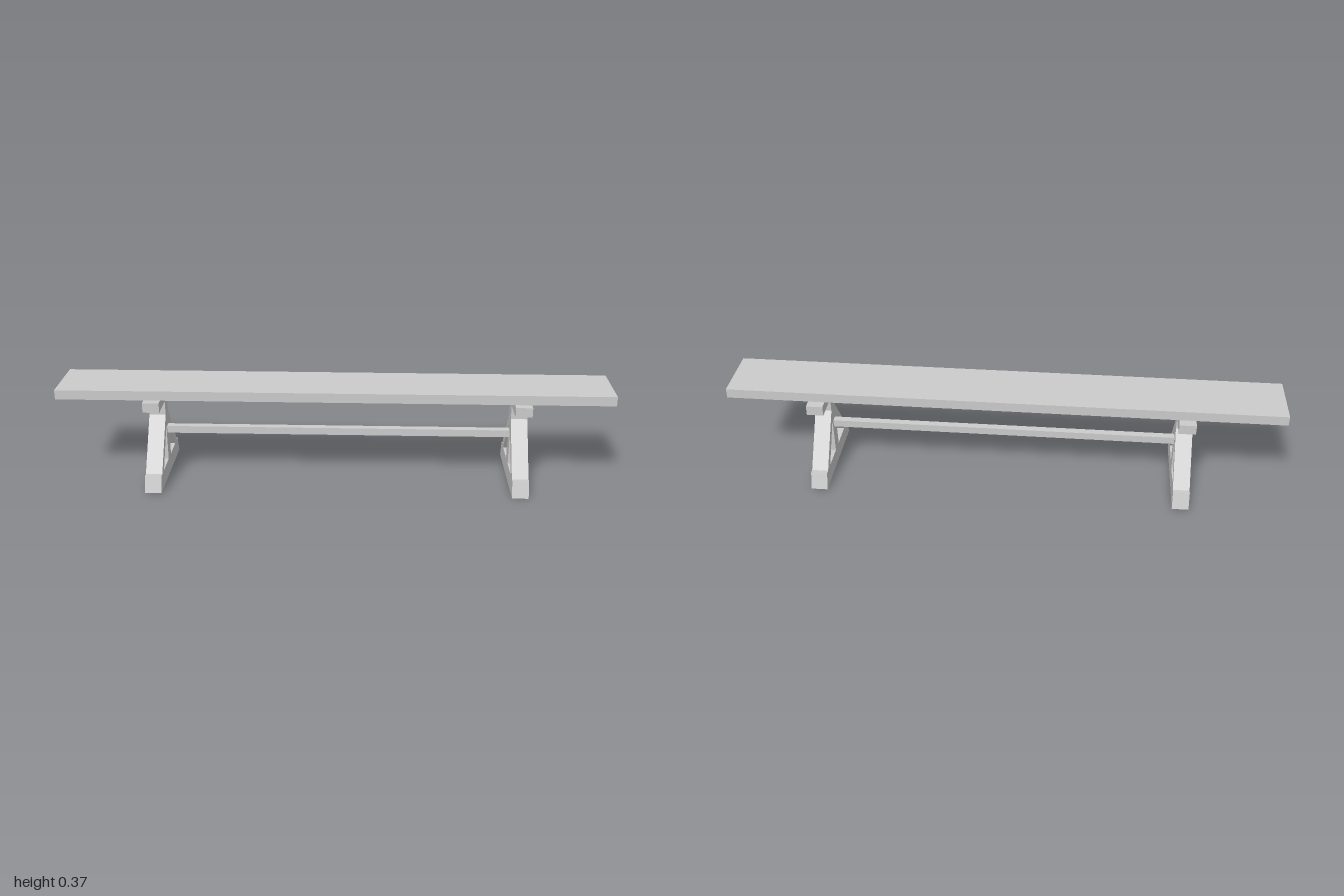
import * as THREE from 'three';

const material = new THREE.MeshStandardMaterial({ color: 0xcccccc });

function board(name, size, position) {
  const mesh = new THREE.Mesh(new THREE.BoxGeometry(...size), material);
  mesh.name = name;
  mesh.position.set(...position);
  return mesh;
}

const points = (list) => list.map(([z, y]) => new THREE.Vector2(z, y));

// Trestle: splayed foot, post with two diagonal braces, and top cleat
function trestleGeometry(thickness) {
  const half = [
    [0.19, 0], [0.171, 0.06], [0.155, 0.06], [0.024, 0.24],
    [0.024, 0.292], [0.132, 0.292], [0.132, 0.328],
  ];
  const mirrored = half.map(([z, y]) => [-z, y]).reverse();
  const shape = new THREE.Shape(points([...half, ...mirrored]));

  // Triangular openings between post, brace and foot
  for (const s of [1, -1]) {
    shape.holes.push(new THREE.Path(points([[s * 0.024, 0.06], [s * 0.12, 0.06], [s * 0.024, 0.2]])));
  }

  const geometry = new THREE.ExtrudeGeometry(shape, { depth: thickness, bevelEnabled: false });
  geometry.translate(0, 0, -thickness / 2);
  geometry.rotateY(-Math.PI / 2); // profile lies in the z-y plane
  return geometry;
}

export function createModel() {
  const bench = new THREE.Group();
  bench.name = 'bench';

  // Seat plank
  bench.add(board('seat', [2, 0.035, 0.216], [0, 0.3485, 0.004]));

  // Pair of end trestles
  const geometry = trestleGeometry(0.06);
  for (const [name, x] of [['rightTrestle', -0.653], ['leftTrestle', 0.674]]) {
    const trestle = new THREE.Mesh(geometry, material);
    trestle.name = name;
    trestle.position.x = x;
    bench.add(trestle);
  }

  // Stretcher rail joining the posts
  bench.add(board('stretcher', [1.268, 0.027, 0.026], [0.0105, 0.176, 0]));

  return bench;
}
